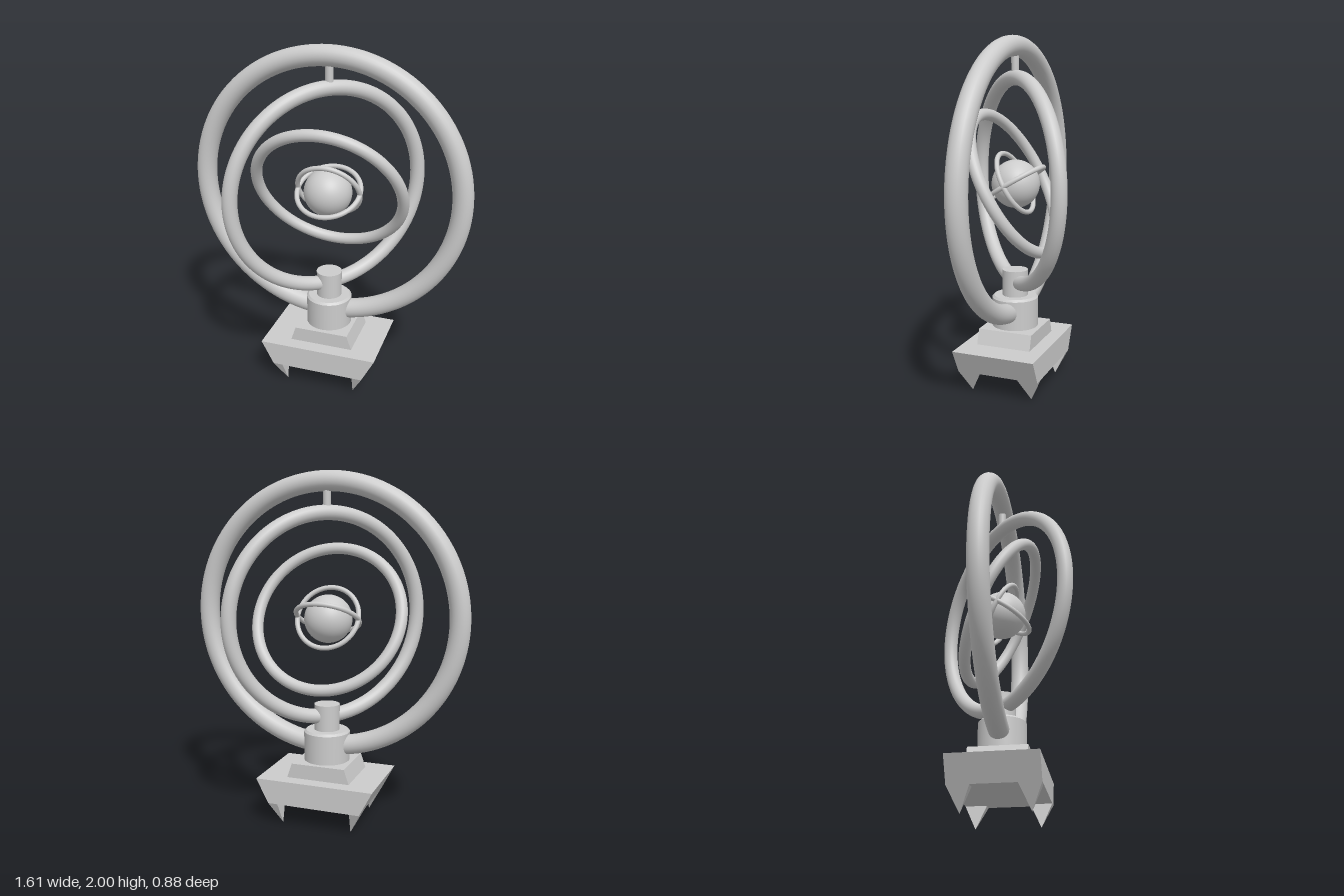
import * as THREE from 'three';

const material = new THREE.MeshStandardMaterial({ color: 0xcccccc });
const flatMaterial = new THREE.MeshStandardMaterial({ color: 0xcccccc, flatShading: true });
const CENTER_Y = 1.193;
const BASE_X = 0.004;

export function createModel() {
  const model = new THREE.Group();

  function add(parent, name, geometry, x, y, z, mat = material) {
    const mesh = new THREE.Mesh(geometry, mat);
    mesh.name = name;
    mesh.position.set(x, y, z);
    parent.add(mesh);
    return mesh;
  }

  // Ring lying in the xy plane, tilted about x and then turned about y
  function ring(name, radius, tube, tilt, turn, y = CENTER_Y) {
    const mesh = add(model, name, new THREE.TorusGeometry(radius, tube, 24, 128), 0, y, 0);
    mesh.rotation.set(tilt, turn, 0);
  }

  // Block with a trapezoid front, sloping sides and upright front and back
  function wedgeBlock(name, bottomHalf, topHalf, y0, y1, depth) {
    const shape = new THREE.Shape([
      new THREE.Vector2(-bottomHalf, y0), new THREE.Vector2(bottomHalf, y0),
      new THREE.Vector2(topHalf, y1), new THREE.Vector2(-topHalf, y1),
    ]);
    const geometry = new THREE.ExtrudeGeometry(shape, { depth, bevelEnabled: false });
    geometry.translate(0, 0, -depth / 2);
    add(model, name, geometry, BASE_X, 0, 0, flatMaterial);
  }

  // Rings and globe
  ring('outerRing', 0.75, 0.057, 0, 0);
  ring('turnedRing', 0.579, 0.042, 0, 0.762);
  ring('tiltedRing', 0.427, 0.033, 0.477, 0, 1.188);
  ring('innerUprightRing', 0.182, 0.014, 0.477, 0, 1.188);
  ring('innerFlatRing', 0.182, 0.014, Math.PI / 2 + 0.55, 0, 1.186);
  add(model, 'globe', new THREE.SphereGeometry(0.137, 48, 32), -0.004, 1.181, 0);

  // Pivot pin between the two largest rings
  add(model, 'topPin', new THREE.CylinderGeometry(0.022, 0.022, 0.12, 24), BASE_X, 1.85, 0);

  // Stacked round column with a chamfered collar
  add(model, 'upperColumn', new THREE.CylinderGeometry(0.074, 0.074, 0.17, 48), BASE_X, 0.6, 0);
  const collar = [[0, 0.35], [0.133, 0.35], [0.133, 0.35], [0.133, 0.523],
    [0.133, 0.523], [0.121, 0.535], [0.121, 0.535], [0, 0.535]]
    .map(([r, y]) => new THREE.Vector2(r, y));
  add(model, 'columnCollar', new THREE.LatheGeometry(collar, 48), BASE_X, 0, 0);

  // Plinth and sloping base
  wedgeBlock('plinth', 0.188, 0.158, 0.265, 0.355, 0.32);
  wedgeBlock('base', 0.273, 0.346, 0.13, 0.27, 0.48);

  // Four pointed feet at the corners: boxes whose lower end shrinks to a tip
  for (const sx of [-1, 1]) {
    for (const sz of [-1, 1]) {
      const geometry = new THREE.BoxGeometry(0.057, 0.13, 0.12);
      const p = geometry.attributes.position;
      for (let i = 0; i < p.count; i++) {
        if (p.getY(i) < 0) p.setXYZ(i, -sx * 0.039, -0.065, 0);
      }
      geometry.computeVertexNormals();
      add(model, 'foot', geometry, BASE_X + sx * 0.2445, 0.065, sz * 0.18, flatMaterial);
    }
  }

  return model;
}
